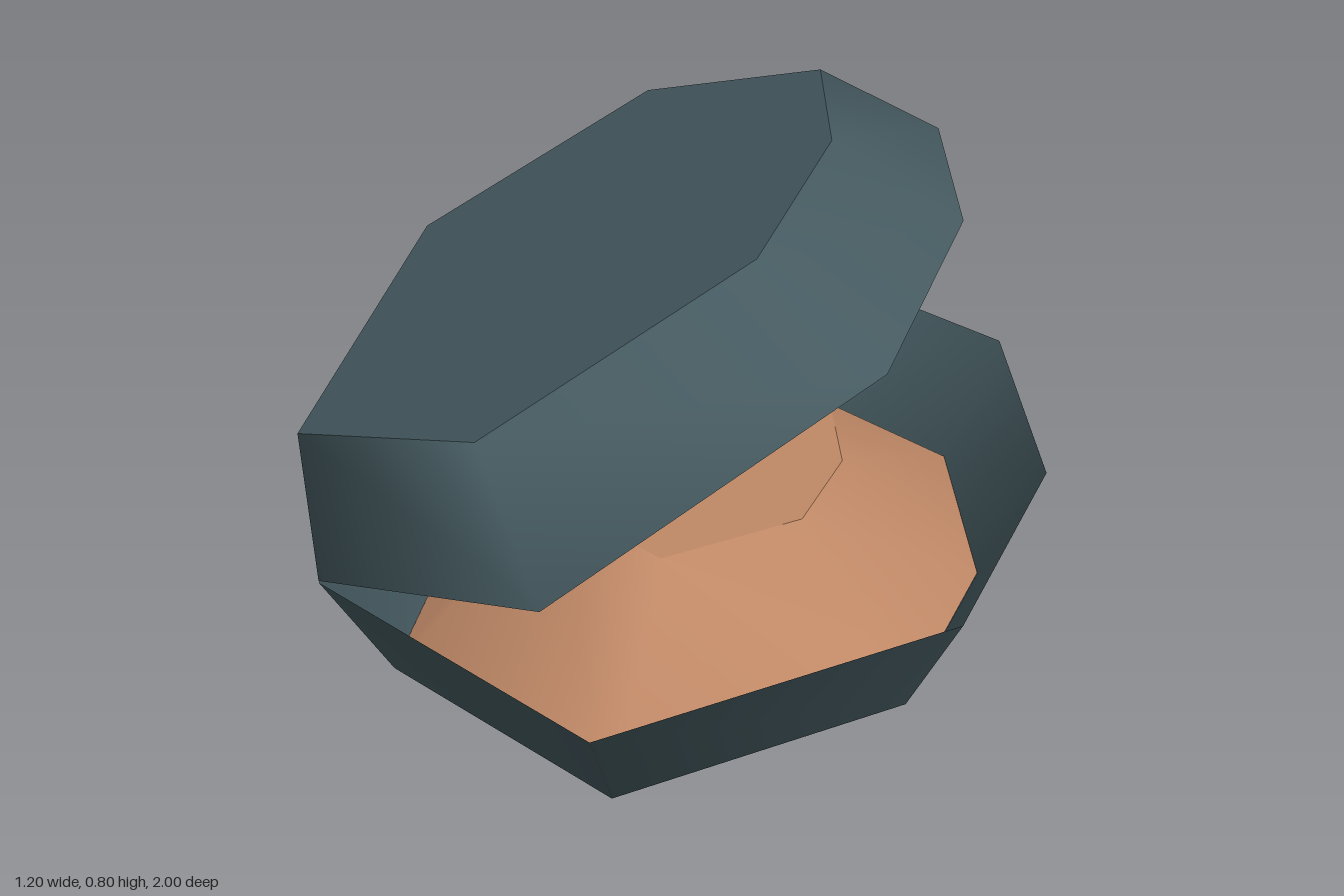
import * as THREE from 'three';

const shellTeal = new THREE.MeshStandardMaterial({ color: 0x455a60, side: THREE.DoubleSide });
shellTeal.name = 'shell teal';
const fleshOrange = new THREE.MeshStandardMaterial({ color: 0xbf8866, side: THREE.DoubleSide });
fleshOrange.name = 'flesh orange';

// Seven-sided ring, mirrored in z: front tip, front corner, side tip, hinge corner.
// height(x) gives y, so a ring can lie level or slope.
function ring(xs, zs, height) {
  const half = xs.map((x, i) => [x, height(x), zs[i]]);
  const mirrored = half.slice(1).reverse().map(([x, y, z]) => [x, y, -z]);
  return [...half, ...mirrored];
}

function geometry(points, index) {
  const g = new THREE.BufferGeometry();
  g.setAttribute('position', new THREE.Float32BufferAttribute(points.flat(), 3));
  g.setIndex(index);
  g.computeVertexNormals();
  return g;
}

// Smooth wall between a lower and an upper ring
function wall(lower, upper) {
  const n = lower.length, index = [];
  for (let i = 0; i < n; i++) {
    const j = (i + 1) % n;
    index.push(i, n + i, n + j, i, n + j, j);
  }
  return geometry([...lower, ...upper], index);
}

// Flat plate filling a ring
function plate(points, facingUp) {
  const index = [];
  for (let k = 1; k < points.length - 1; k++) {
    index.push(0, ...(facingUp ? [k + 1, k] : [k, k + 1]));
  }
  return geometry(points, index);
}

function part(name, material, pieces) {
  const group = new THREE.Group();
  group.name = name;
  for (const [pieceName, g] of Object.entries(pieces)) {
    const mesh = new THREE.Mesh(g, material);
    mesh.name = pieceName;
    group.add(mesh);
  }
  return group;
}

export function createModel() {
  const model = new THREE.Group();
  model.name = 'openClam';
  const wide = [0, 0.57, 1, 0.57];
  const narrow = [0, 0.47, 0.82, 0.47];
  const rimHeight = 0.207;

  // Lower shell: open bowl
  const baseX = [0.487, 0.397, -0.03, -0.457];
  const bowlBottom = ring(baseX, narrow, () => 0);
  const bowlRim = ring([0.6, 0.49, -0.03, -0.55], wide, () => rimHeight);
  model.add(part('lowerShell', shellTeal, {
    lowerShellWall: wall(bowlBottom, bowlRim),
    lowerShellBottom: plate(bowlBottom, false),
  }));

  // Soft body: flat-topped mound filling the bowl
  const bodyFoot = ring(baseX, narrow, () => 0.003);
  const bodyTop = ring(baseX.map((x) => x / 2), narrow.map((z) => z / 2), () => rimHeight);
  model.add(part('softBody', fleshOrange, {
    softBodySlope: wall(bodyFoot, bodyTop),
    softBodyTop: plate(bodyTop, true),
  }));

  // Upper shell: hollow lid tilted up from the hinge edge
  const slope = 0.463;
  const lidRim = ring([0.44, 0.36, -0.1, -0.55], wide, (x) => 0.21 + (x + 0.55) * slope);
  const lidTop = ring([0.215, 0.147, -0.228, -0.6], narrow, (x) => 0.423 + (x + 0.6) * slope);
  model.add(part('upperShell', shellTeal, {
    upperShellWall: wall(lidRim, lidTop),
    upperShellTop: plate(lidTop, true),
  }));

  return model;
}
